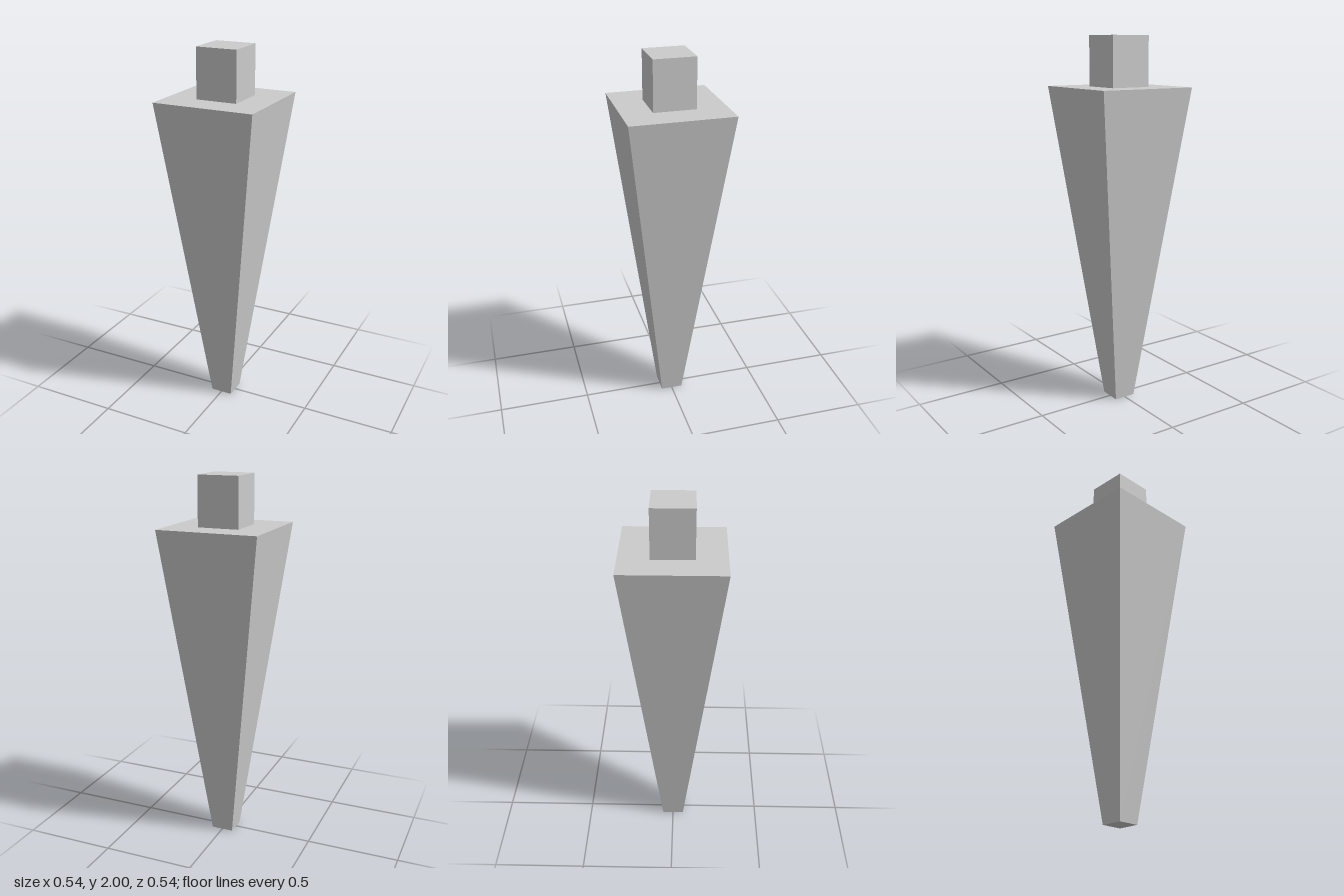
import * as THREE from 'three';

const SHOULDER = 1.737; // height where the taper ends and the peg begins

// Square-section block from y0 to y1 with separate bottom and top half widths
function taperedBlock(name, y0, y1, bottomHalf, topHalf, material) {
  const geometry = new THREE.BoxGeometry(2, y1 - y0, 2);
  geometry.translate(0, (y0 + y1) / 2, 0);
  const pos = geometry.attributes.position;
  const middle = (y0 + y1) / 2;
  for (let i = 0; i < pos.count; i++) {
    const half = pos.getY(i) > middle ? topHalf : bottomHalf;
    pos.setX(i, pos.getX(i) * half);
    pos.setZ(i, pos.getZ(i) * half);
  }
  geometry.computeVertexNormals();
  const mesh = new THREE.Mesh(geometry, material);
  mesh.name = name;
  return mesh;
}

export function createModel() {
  const group = new THREE.Group();
  group.name = 'taperedLeg';
  const material = new THREE.MeshStandardMaterial({ color: 0xcccccc, flatShading: true });

  // Leg narrowing towards the foot
  group.add(taperedBlock('legShaft', 0, SHOULDER, 0.06, 0.272, material));

  // Straight square peg on top
  group.add(taperedBlock('topPeg', SHOULDER, 2, 0.111, 0.111, material));

  return group;
}
